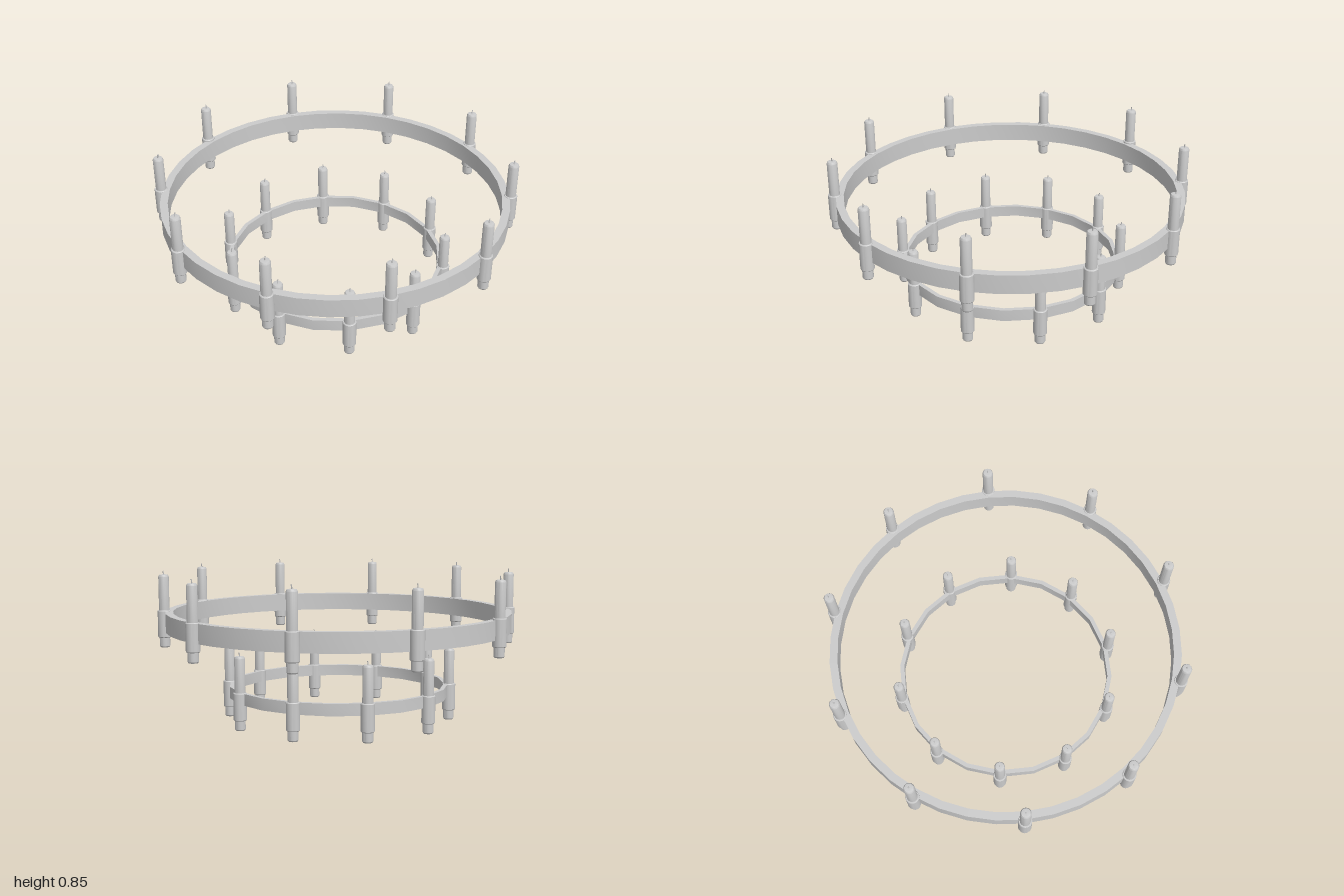
import * as THREE from 'three';
import { toCreasedNormals } from 'three/addons/utils/BufferGeometryUtils.js';

const material = new THREE.MeshStandardMaterial({ color: 0xcccccc });

// Revolved profile with sharp rims and smooth sides
function turned(points, sides) {
  const profile = points.map(([r, y]) => new THREE.Vector2(r, y));
  return toCreasedNormals(new THREE.LatheGeometry(profile, sides), 0.5);
}

function part(name, geometry) {
  const mesh = new THREE.Mesh(geometry, material);
  mesh.name = name;
  return mesh;
}

// Flat band with a rectangular section
function band(name, inner, outer, y0, y1, sides) {
  return part(name, turned([[inner, y0], [outer, y0], [outer, y1], [inner, y1], [inner, y0]], sides));
}

// Shared candle parts, standing on y = 0
const footGeometry = turned([[0, 0], [0.025, 0], [0.029, 0.007], [0.029, 0.06], [0, 0.06]], 20);
const cupGeometry = turned(
  [[0, 0.055], [0.034, 0.055], [0.037, 0.059], [0.037, 0.203], [0.034, 0.207], [0, 0.207]], 20);
const waxGeometry = turned([[0.029, 0.2], [0.029, 0.394], [0.024, 0.404], [0.012, 0.406], [0, 0.405]], 20);
const wickGeometry = new THREE.TubeGeometry(
  new THREE.QuadraticBezierCurve3(
    new THREE.Vector3(0, 0.4, 0), new THREE.Vector3(0, 0.418, 0), new THREE.Vector3(0.004, 0.427, 0)),
  4, 0.003, 6);

function createCandle() {
  const candle = new THREE.Group();
  candle.name = 'candle';
  candle.add(
    part('candleFoot', footGeometry),
    part('candleCup', cupGeometry),
    part('candleWax', waxGeometry),
    part('candleWick', wickGeometry));
  return candle;
}

// Ten candles evenly spaced around a ring
function candleCircle(name, radius, y, startDegrees) {
  const circle = new THREE.Group();
  circle.name = name;
  for (let i = 0; i < 10; i++) {
    const a = THREE.MathUtils.degToRad(startDegrees + i * 36);
    const candle = createCandle();
    candle.position.set(radius * Math.sin(a), y, radius * Math.cos(a));
    // One candle at the back sits slightly higher on the large ring
    if (startDegrees > 0 && i === 5) candle.position.y += 0.006;
    circle.add(candle);
  }
  return circle;
}

export function createModel() {
  const model = new THREE.Group();
  model.name = 'chandelier';
  model.add(
    band('upperRing', 0.925, 0.968, 0.518, 0.622, 40),
    candleCircle('upperCandles', 0.974, 0.42, 9),
    band('lowerRing', 0.598, 0.622, 0.139, 0.204, 20),
    candleCircle('lowerCandles', 0.626, 0, 0));
  return model;
}
